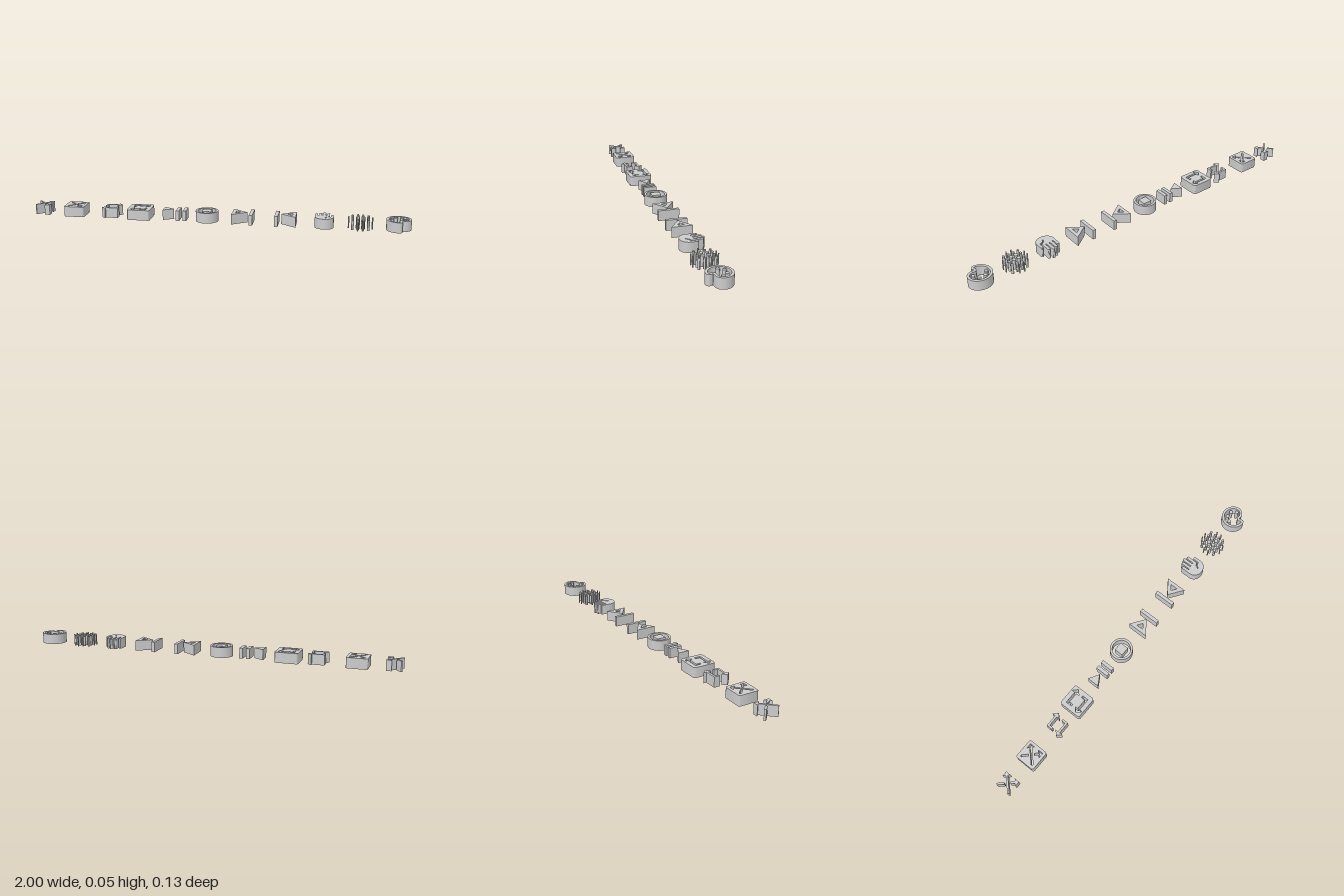
import * as THREE from 'three';
import { toCreasedNormals } from 'three/addons/utils/BufferGeometryUtils.js';

const HEIGHT = 0.055;
const material = new THREE.MeshStandardMaterial({ color: 0xcccccc });

// Symbols are drawn on a 24 x 24 sheet, y pointing to the front.
const poly = (...p) => {
  const s = new THREE.Shape();
  for (let i = 0; i < p.length; i += 2) i ? s.lineTo(p[i], p[i + 1]) : s.moveTo(p[i], p[i + 1]);
  s.closePath();
  return s;
};
const rect = (x0, y0, x1, y1) => poly(x0, y0, x1, y0, x1, y1, x0, y1);
const disc = (x, y, r) => {
  const s = new THREE.Shape();
  s.absarc(x, y, r, 0, Math.PI * 2, false);
  return s;
};
const roundedSquare = (a, b, r) => {
  const s = new THREE.Shape();
  s.absarc(b - r, b - r, r, 0, Math.PI / 2, false);
  s.absarc(a + r, b - r, r, Math.PI / 2, Math.PI, false);
  s.absarc(a + r, a + r, r, Math.PI, Math.PI * 1.5, false);
  s.absarc(b - r, a + r, r, Math.PI * 1.5, Math.PI * 2, false);
  s.closePath();
  return s;
};
const cut = (shape, ...holes) => {
  shape.holes.push(...holes);
  return shape;
};

// Extrude a drawing upright at x, with ux and uz units per sheet square.
function symbol(name, shapes, x, ux, uz = ux) {
  let g = new THREE.ExtrudeGeometry(shapes, { depth: 1, bevelEnabled: false, curveSegments: 20 });
  g.translate(-12, -12, -1);
  g.rotateX(Math.PI / 2);
  g.scale(ux, HEIGHT, uz);
  g.translate(x, 0, 0);
  g = toCreasedNormals(g, 0.6);
  const mesh = new THREE.Mesh(g, material);
  mesh.name = name;
  return mesh;
}

// Crossing arrows: a short stroke, a long arrow and a short arrow
const shuffleShapes = () => [
  poly(10.59, 9.17, 5.41, 4, 4, 5.41, 9.17, 10.58),
  poly(14.5, 4, 16.54, 6.04, 4, 18.59, 5.41, 20, 17.96, 7.46, 20, 9.5, 20, 4),
  poly(14.83, 13.41, 13.42, 14.82, 16.55, 17.95, 14.5, 20, 20, 20, 20, 14.5, 17.96, 16.54),
];

// Two bent arrows chasing each other
const repeatShapes = () => [
  poly(7, 7, 17, 7, 17, 10, 21, 6, 17, 2, 17, 5, 5, 5, 5, 11, 7, 11),
  poly(17, 17, 7, 17, 7, 14, 3, 18, 7, 22, 7, 19, 19, 19, 19, 13, 17, 13),
];

// Open hand: round-tipped fingers, slots between them and a thumb crease
function handShape() {
  const s = new THREE.Shape();
  const tips = [[6, 5.75], [9.5, 2.75], [13, 1.25], [16.5, 3.25]];
  const r = 1.25;
  s.moveTo(4.75, 15.75);
  tips.forEach(([x, y], i) => {
    if (i) s.lineTo(x - r, i === 1 ? 12 : 11);
    s.absarc(x, y, r, Math.PI, Math.PI * 2, false);
    if (i < 3) s.lineTo(x + r, i === 0 ? 12 : 11);
  });
  s.lineTo(17.75, 14.03);
  s.bezierCurveTo(15.36, 14.27, 13.5, 16.3, 13.5, 18.75);
  s.lineTo(14.5, 18.75);
  s.bezierCurveTo(14.5, 16.68, 16.18, 15, 18.25, 15);
  s.lineTo(18.75, 15);
  s.absarc(20, 9.25, r, Math.PI, Math.PI * 2, false);
  s.lineTo(21.25, 15.75);
  s.absarc(13, 15.75, 8.25, 0, Math.PI, false);
  return s;
}

// Paint palette: notched rim with a matching inner opening
function paletteShapes() {
  const s = new THREE.Shape();
  s.moveTo(12, 22);
  s.bezierCurveTo(6.49, 22, 2, 17.51, 2, 12);
  s.bezierCurveTo(2, 6.49, 6.49, 2, 12, 2);
  s.bezierCurveTo(17.51, 2, 22, 6.04, 22, 11);
  s.bezierCurveTo(22, 14.31, 19.31, 17, 16, 17);
  s.lineTo(14.23, 17);
  s.bezierCurveTo(13.95, 17, 13.73, 17.22, 13.73, 17.5);
  s.bezierCurveTo(13.73, 17.62, 13.78, 17.73, 13.86, 17.83);
  s.bezierCurveTo(14.27, 18.3, 14.5, 18.89, 14.5, 19.5);
  s.bezierCurveTo(14.5, 20.88, 13.38, 22, 12, 22);
  const h = new THREE.Path();
  h.moveTo(12, 4);
  h.bezierCurveTo(7.59, 4, 4, 7.59, 4, 12);
  h.bezierCurveTo(4, 16.41, 7.59, 20, 12, 20);
  h.bezierCurveTo(12.28, 20, 12.5, 19.78, 12.5, 19.5);
  h.bezierCurveTo(12.5, 19.34, 12.42, 19.22, 12.36, 19.15);
  h.bezierCurveTo(11.95, 18.69, 11.73, 18.1, 11.73, 17.5);
  h.bezierCurveTo(11.73, 16.12, 12.85, 15, 14.23, 15);
  h.lineTo(16, 15);
  h.bezierCurveTo(18.21, 15, 20, 13.21, 20, 11);
  h.bezierCurveTo(20, 7.14, 16.41, 4, 12, 4);
  const dots = [[6.5, 11.5], [9.5, 7.5], [14.5, 7.5], [17.5, 11.5]].map(([x, y]) => disc(x, y, 1.5));
  return [cut(s, h), ...dots];
}

// Dot cloud: dots shrink away from the middle
function dotShapes() {
  const rows = [3, 6, 10, 14, 18, 21];
  const dots = [];
  rows.forEach((x, i) => rows.forEach((y, j) => {
    const edge = (n) => (n === 0 || n === 5 ? 2 : n === 1 || n === 4 ? 1 : 0);
    if (edge(i) + edge(j) === 3 || edge(i) + edge(j) === 4) return;
    dots.push(disc(x, y, [1.5, 1, 0.5][Math.max(edge(i), edge(j))]));
  }));
  return dots;
}

// Hollow triangle and end bar; flip mirrors it
function skipShapes(flip) {
  const f = (...p) => poly(...p.map((v, i) => (flip && i % 2 === 0 ? 24 - v : v)));
  return [
    cut(f(6, 18, 14.5, 12, 6, 6), f(8, 9.86, 11.03, 12, 8, 14.14)),
    f(16, 6, 18, 6, 18, 18, 16, 18),
  ];
}

export function createModel() {
  const group = new THREE.Group();
  group.name = 'controlSymbols';
  group.add(
    symbol('shuffleArrows', shuffleShapes(), -0.96, 0.005, 0.0052),
    symbol('shufflePlate', cut(roundedSquare(1, 23, 2), ...shuffleShapes()), -0.779, 0.005),
    symbol('repeatArrows', repeatShapes(), -0.578, 0.0054),
    symbol('repeatPlate', cut(roundedSquare(1, 23, 2), ...repeatShapes()), -0.422, 0.0056),
    symbol('playTriangle', [poly(6.5, 5.5, 17.5, 12, 6.5, 18.5)], -0.266, 0.005),
    symbol('pauseBars', [rect(6, 5, 10, 19), rect(14, 5, 18, 19)], -0.195, 0.0046, 0.005),
    symbol('stopButton', [cut(disc(12, 12, 10), disc(12, 12, 8)), rect(8, 8, 16, 16)], -0.06, 0.006),
    symbol('skipForward', skipShapes(false), 0.132, 0.0092),
    symbol('skipBack', skipShapes(true), 0.357, 0.0092),
    symbol('openHand', [handShape()], 0.551, 0.0059, 0.0052),
    symbol('dotCloud', dotShapes(), 0.742, 0.0067),
    symbol('paintPalette', paletteShapes(), 0.936, 0.0064),
  );
  return group;
}
